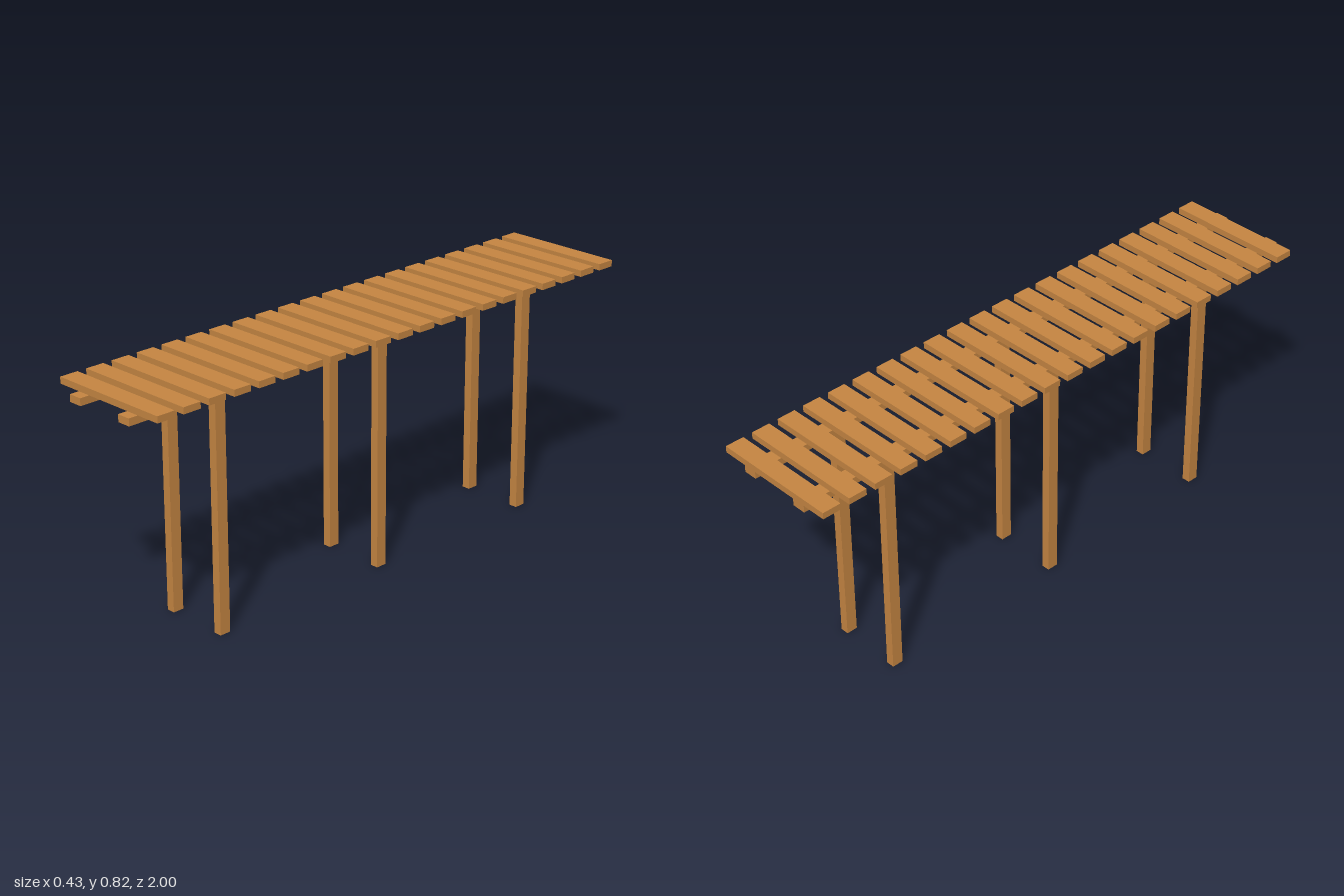
import * as THREE from 'three';

export function createModel() {
  const model = new THREE.Group();
  model.name = 'boardwalk';
  const wood = new THREE.MeshStandardMaterial({ color: 0xc68642 });
  wood.name = 'wood';

  const addBeam = (name, w, h, d, x, y, z) => {
    const mesh = new THREE.Mesh(new THREE.BoxGeometry(w, h, d), wood);
    mesh.name = name;
    mesh.position.set(x, y, z);
    model.add(mesh);
  };

  const railBottom = 0.7735, railTop = 0.7975, deckTop = 0.819;

  // Deck planks, starting flush with the back end of the rails
  const plankCount = 21, plankDepth = 0.0635, pitch = 0.0952;
  for (let i = 0; i < plankCount; i++) {
    const z = -1 + plankDepth / 2 + i * pitch;
    addBeam('plank', 0.431, deckTop - railTop, plankDepth, 0, (deckTop + railTop) / 2, z);
  }

  // Two long rails, each carried by three posts
  for (const side of [-1, 1]) {
    const x = side * 0.1077;
    addBeam('rail', 0.0465, railTop - railBottom, 2, x, (railTop + railBottom) / 2, 0);
    for (const z of [-0.679, -0.012, 0.655]) {
      addBeam('post', 0.0285, railBottom, 0.038, x, railBottom / 2, z);
    }
  }
  return model;
}
